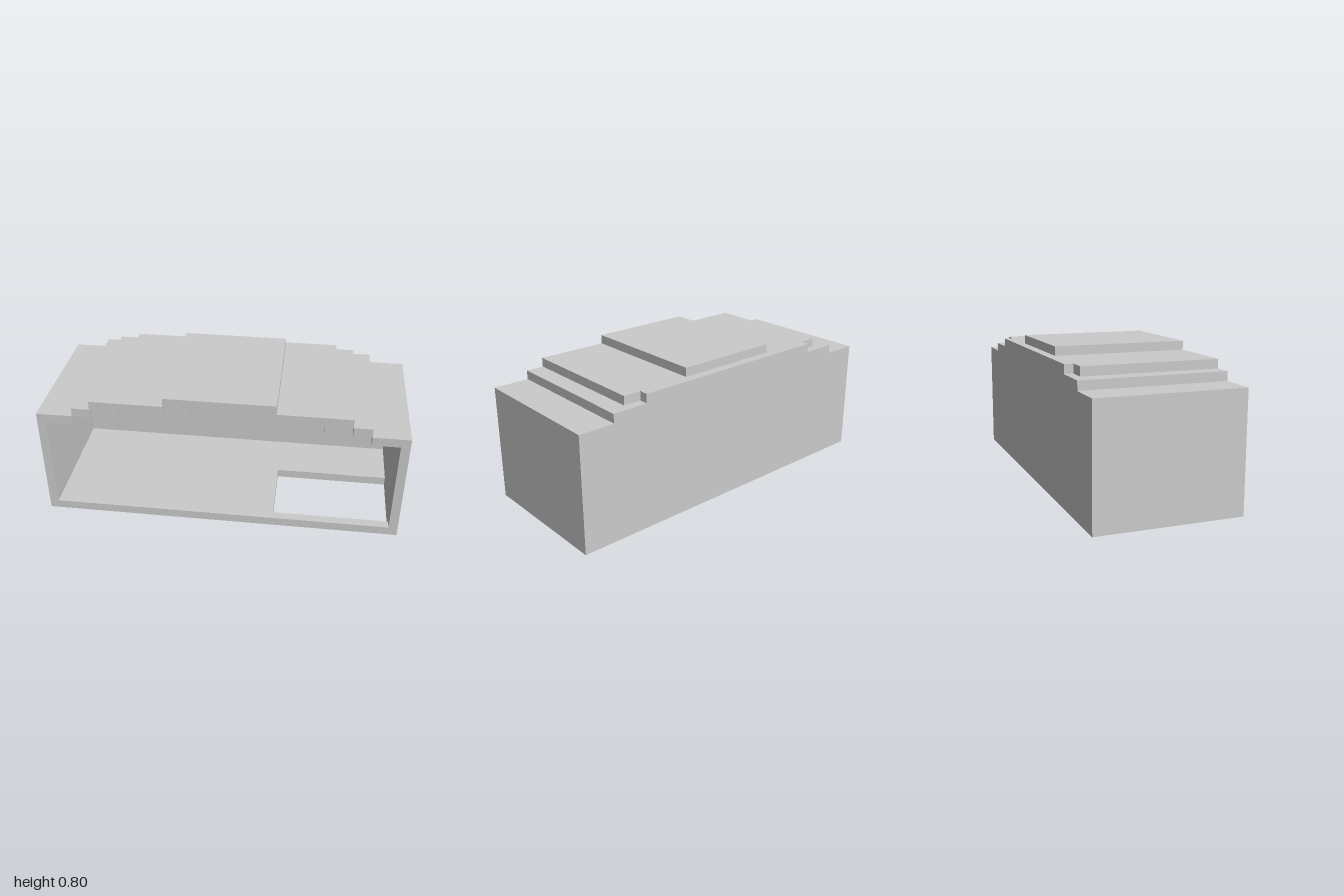
import * as THREE from 'three';

const material = new THREE.MeshStandardMaterial({ color: 0xcccccc, flatShading: true });
const FRONT = 0.4, BACK = -0.4, T = 0.05; // depth limits and wall thickness

function add(group, name, geometry) {
  const mesh = new THREE.Mesh(geometry, material);
  mesh.name = name;
  group.add(mesh);
  return mesh;
}

// Bar running from the back wall to the open front
function bar(group, name, x0, x1, y0, y1) {
  const depth = FRONT - BACK - T;
  const geometry = new THREE.BoxGeometry(x1 - x0, y1 - y0, depth);
  geometry.translate((x0 + x1) / 2, (y0 + y1) / 2, FRONT - depth / 2);
  return add(group, name, geometry);
}

const toPoints = (pairs) => pairs.map(([x, y]) => new THREE.Vector2(x, y));

export function createModel() {
  const model = new THREE.Group();
  model.name = 'steppedRoofHall';

  // Floor with a rectangular opening (shape y becomes -z)
  const floorShape = new THREE.Shape(toPoints([[-1, -FRONT], [1, -FRONT], [1, -BACK - T], [-1, -BACK - T]]));
  floorShape.holes.push(new THREE.Path(toPoints([[0.3, -0.35], [0.3, 0.05], [0.95, 0.05], [0.95, -0.35]])));
  const floor = new THREE.ExtrudeGeometry(floorShape, { depth: T, bevelEnabled: false });
  floor.rotateX(-Math.PI / 2);
  add(model, 'floor', floor);

  // Back wall with a stepped top
  const half = [[1, 0], [1, 0.65], [0.8, 0.65], [0.8, 0.7], [0.6, 0.7], [0.6, 0.75]];
  const outline = [...half, ...half.map(([x, y]) => [-x, y]).reverse()];
  const back = new THREE.ExtrudeGeometry(new THREE.Shape(toPoints(outline)), { depth: T, bevelEnabled: false });
  back.translate(0, 0, BACK);
  add(model, 'backWall', back);

  // Mirrored parts: [name, inner x, outer x, bottom, top]
  const sideParts = [
    ['sideWall', 0.95, 1, T, 0.65],
    ['roofEave', 0.8, 0.95, 0.6, 0.65],
    ['roofLowerStep', 0.7, 0.8, 0.65, 0.7],
    ['roofMiddleStep', 0.3, 0.7, 0.7, 0.75],
    ['outerRib', 0.55, 0.65, 0.65, 0.7],
    ['middleRib', 0.35, 0.45, 0.65, 0.7],
    ['innerRib', 0.15, 0.25, 0.7, 0.75],
  ];
  for (const [name, x0, x1, y0, y1] of sideParts) {
    bar(model, name + 'Left', x0, x1, y0, y1);
    bar(model, name + 'Right', -x1, -x0, y0, y1);
  }

  // Raised centre of the roof and its middle rib
  bar(model, 'roofTop', -0.3, 0.3, 0.75, 0.8);
  bar(model, 'centreRib', -0.05, 0.05, 0.7, 0.75);

  return model;
}
